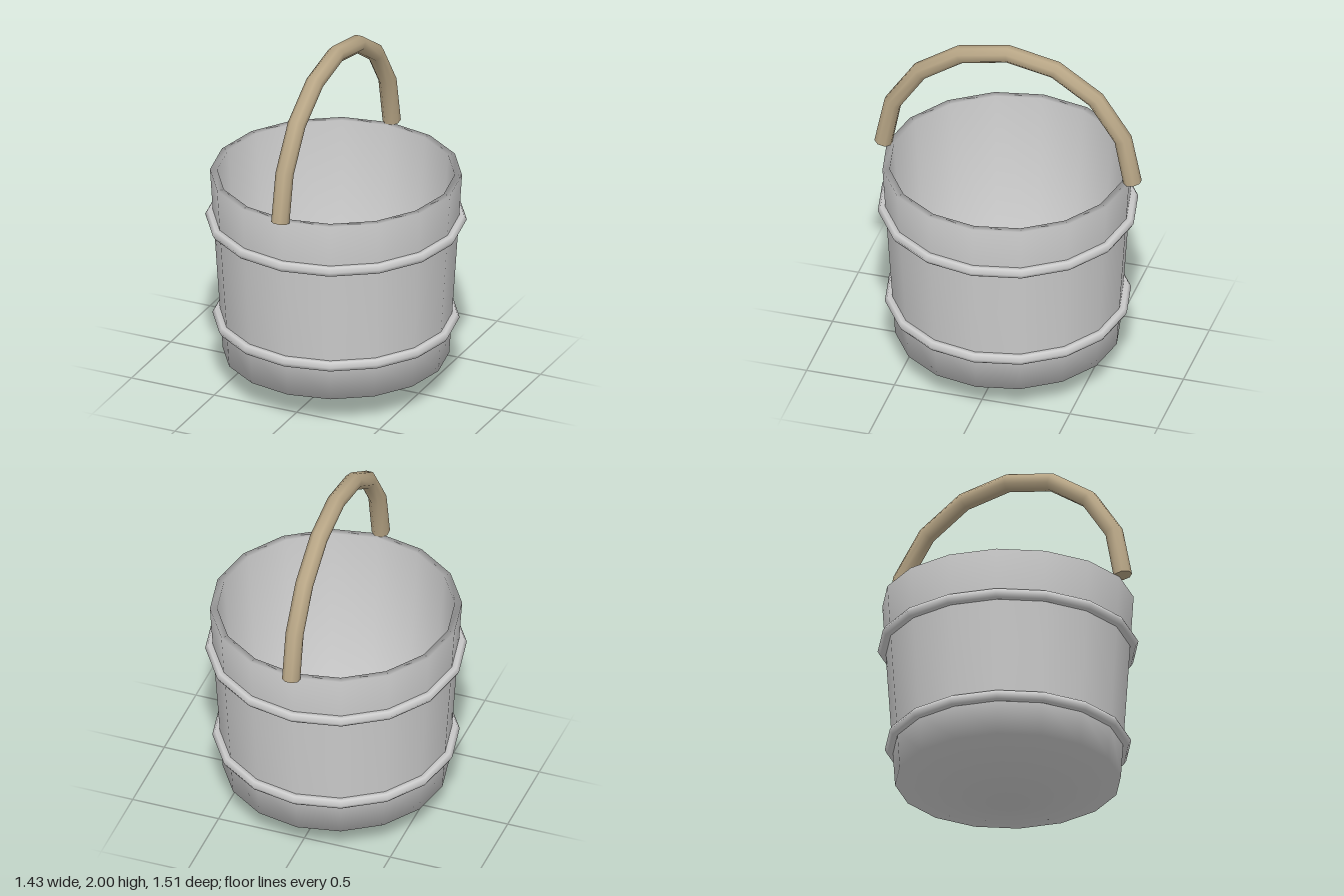
import * as THREE from 'three';
import { mergeVertices } from 'three/addons/utils/BufferGeometryUtils.js';

const SIDES = 16;

// Weld seams so shading is smooth across the whole surface
function smooth(geometry) {
  geometry.deleteAttribute('uv');
  geometry.deleteAttribute('normal');
  const welded = mergeVertices(geometry, 1e-4);
  welded.computeVertexNormals();
  return welded;
}

export function createModel() {
  const model = new THREE.Group();
  model.name = 'bucket';

  const grey = new THREE.MeshStandardMaterial({ color: 0xcccccc });
  grey.name = 'pale grey';
  const tan = new THREE.MeshStandardMaterial({ color: 0xb8a686 });
  tan.name = 'tan';

  const add = (name, geometry, material, parent = model) => {
    const mesh = new THREE.Mesh(geometry, material);
    mesh.name = name;
    parent.add(mesh);
    return mesh;
  };

  // Bucket body: pointed base, outer wall, rim, inner wall and pointed floor
  const profile = [
    [0, 0], [0.62, 0.16], [0.634, 0.375], [0.673, 0.97], [0.69, 1.24],
    [0.65, 1.24], [0.58, 0.2], [0, 0.05],
  ].map(([x, y]) => new THREE.Vector2(x, y));
  add('body', smooth(new THREE.LatheGeometry(profile, SIDES)), grey);

  // Two hoops around the wall
  for (const [name, y, radius] of [['lowerHoop', 0.375, 0.647], ['upperHoop', 0.97, 0.686]]) {
    const hoop = new THREE.TorusGeometry(radius, 0.03, 6, SIDES).rotateX(Math.PI / 2);
    add(name, hoop, grey).position.y = y;
  }

  // Handle: an octagonal bar swept through a half circle from front to back
  const R = 0.71, r = 0.05;
  const handle = new THREE.Group();
  handle.name = 'handle';
  handle.position.y = 1.245;
  model.add(handle);

  // Tilt the end rings to follow the first and last bar segments
  const tiltEnds = (geometry) => {
    const p = geometry.attributes.position;
    for (let i = 0; i < p.count; i++) {
      if (Math.abs(p.getY(i)) < 0.01) p.setY(i, (Math.abs(p.getZ(i)) - R) * 0.2);
    }
    return geometry;
  };

  const ring = [];
  for (let i = 0; i <= 8; i++) {
    const a = ((i + 0.5) * Math.PI) / 4;
    ring.push(new THREE.Vector2(R + r * Math.cos(a), r * Math.sin(a)));
  }
  const bar = new THREE.LatheGeometry(ring, 8, 0, Math.PI).rotateZ(Math.PI / 2);
  add('handleBar', smooth(tiltEnds(bar)), tan, handle);

  for (const [name, side] of [['frontHandleEnd', 1], ['backHandleEnd', -1]]) {
    const cap = new THREE.CircleGeometry(r, 8, Math.PI / 8).rotateX(Math.PI / 2);
    cap.translate(0, 0, side * R);
    tiltEnds(cap).computeVertexNormals();
    add(name, cap, tan, handle);
  }

  return model;
}
